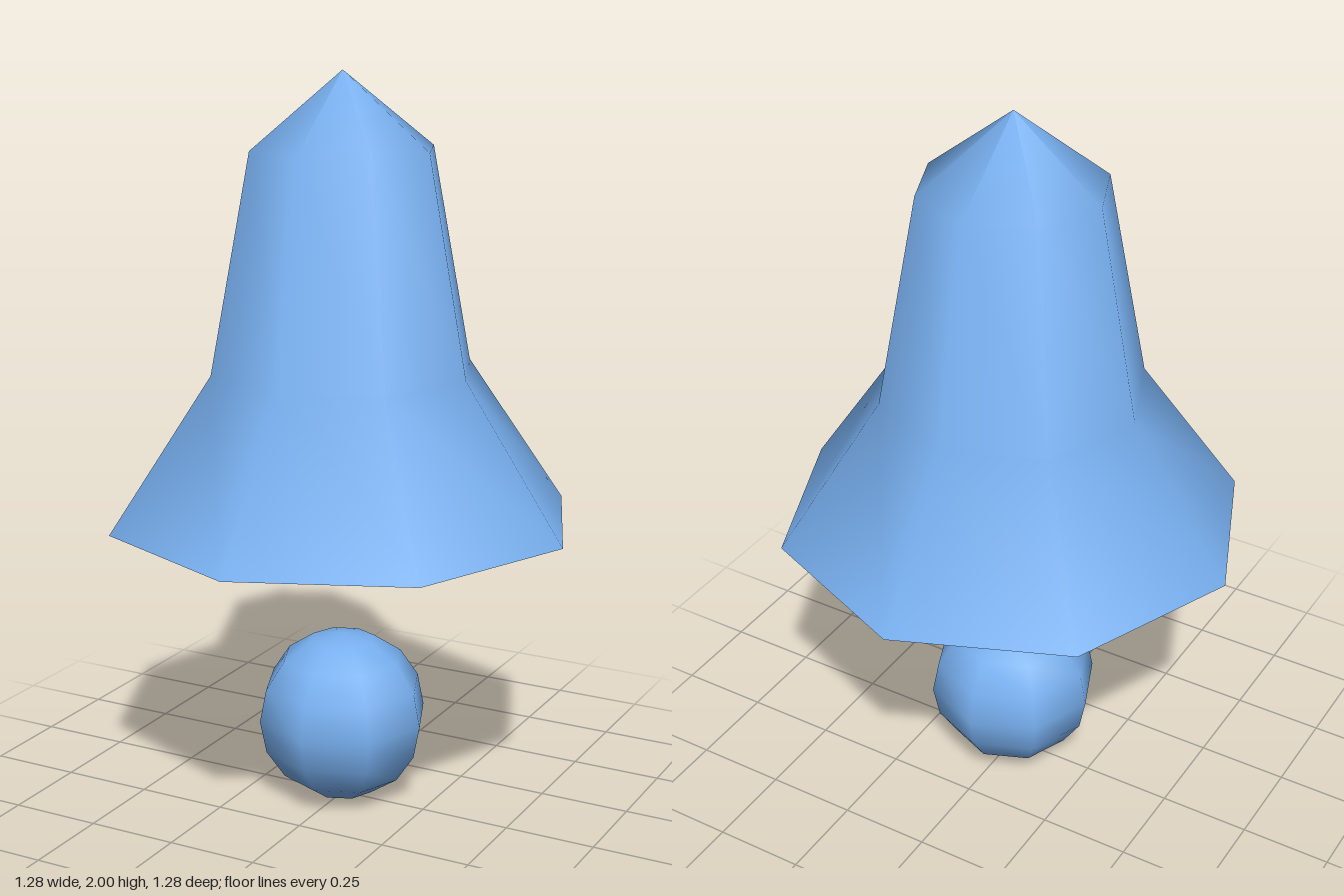
import * as THREE from 'three';

const SIDES = 8;

export function createModel() {
  const model = new THREE.Group();
  const material = new THREE.MeshStandardMaterial({ color: 0x78b0f0 });

  const add = (name, geometry, y = 0) => {
    const mesh = new THREE.Mesh(geometry, material);
    mesh.name = name;
    mesh.position.y = y;
    model.add(mesh);
  };
  // Profiles run from bottom to top (or centre to rim on undersides)
  const turned = (points) =>
    new THREE.LatheGeometry(points.map(([r, y]) => new THREE.Vector2(r, y)), SIDES);

  // Flared bell with a pointed cap
  add('bellShell', turned([[0.64, 0.81], [0.36, 1.22], [0.25, 1.8], [0, 2]]));

  // Shallow hollow under the rim
  add('bellUnderside', turned([[0.37, 0.88], [0.64, 0.81]]));

  // Rounded bulge hanging in the hollow
  add('innerBulge', turned([[0, 0.61], [0.2, 0.675], [0.37, 0.88]]));

  // Loose ball below
  add('ball', new THREE.SphereGeometry(0.2375, SIDES, 8), 0.2375);

  return model;
}
